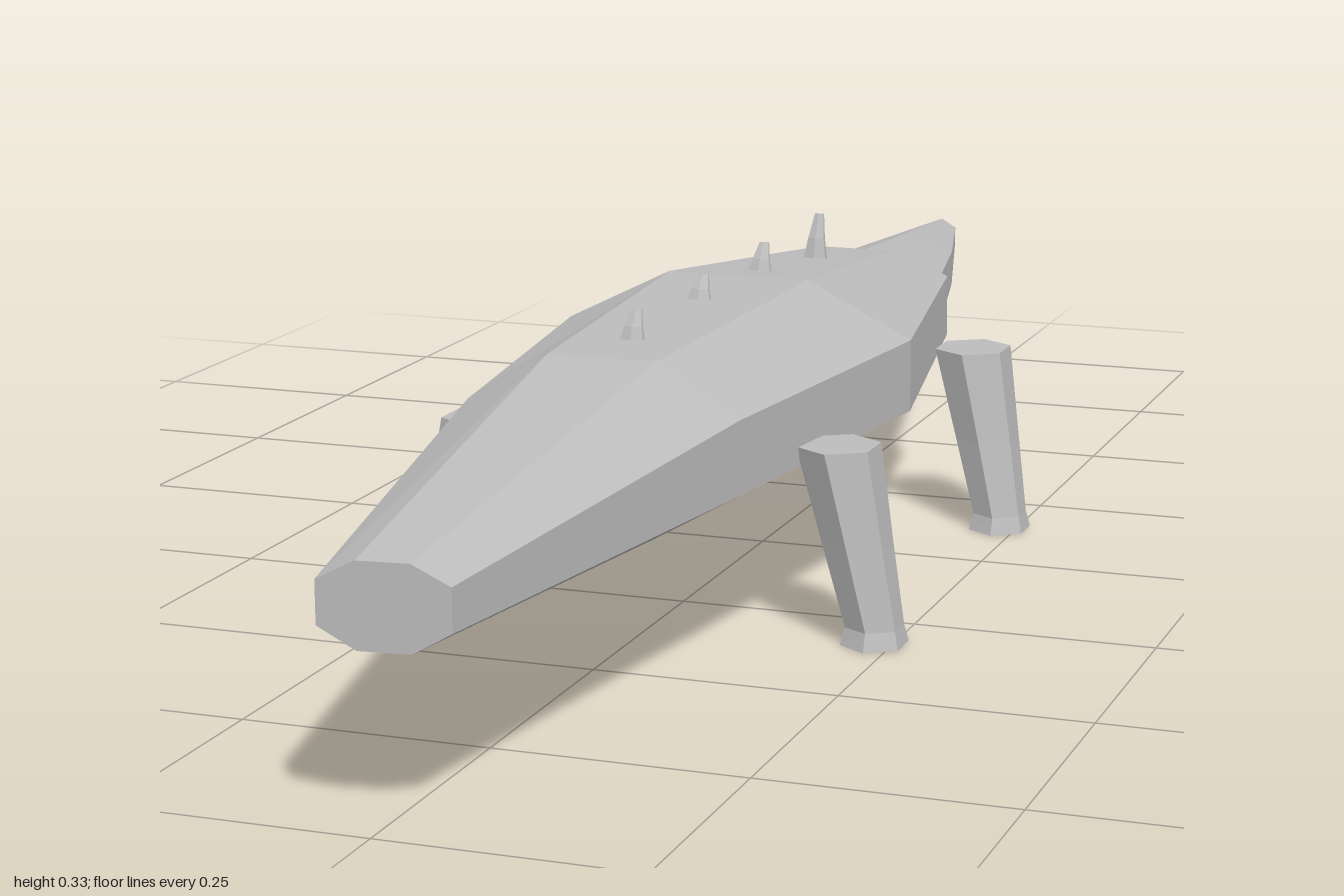
import * as THREE from 'three';

// Skin a list of rings (arrays of Vector3) and close both ends
function loft(rings) {
  const n = rings[0].length, last = rings.length - 1, pos = [], index = [];
  rings.forEach(r => r.forEach(p => pos.push(p.x, p.y, p.z)));
  for (let i = 0; i < last; i++) {
    for (let j = 0; j < n; j++) {
      const k = (j + 1) % n, a = i * n + j, b = i * n + k;
      index.push(a, a + n, b, b, a + n, b + n);
    }
  }
  for (let j = 1; j < n - 1; j++) {
    index.push(0, j, j + 1);
    index.push(last * n, last * n + j + 1, last * n + j);
  }
  const g = new THREE.BufferGeometry();
  g.setAttribute('position', new THREE.Float32BufferAttribute(pos, 3));
  g.setIndex(index);
  const flat = g.toNonIndexed();
  flat.computeVertexNormals();
  return flat;
}

// Six-sided ring lying flat, with corners pointing along z
function flatHex(x, y, z, halfX, halfZ) {
  return Array.from({ length: 6 }, (_, i) => {
    const a = Math.PI / 6 + i * Math.PI / 3;
    return new THREE.Vector3(x + halfX * Math.cos(a) / 0.866, y, z - halfZ * Math.sin(a));
  });
}

// Six-sided upright ring with a ridge on top
function uprightHex(x, y, z, halfX, halfY) {
  return Array.from({ length: 6 }, (_, i) => {
    const a = Math.PI / 6 + i * Math.PI / 3;
    return new THREE.Vector3(x + halfX * Math.cos(a) / 0.866, y + halfY * Math.sin(a), z);
  });
}

// Eight-sided upright ring: side width, flat top width and four heights
function bodyRing({ z, x = 0, w, flat, top, upper, lower, bottom, skew = 0 }) {
  return [
    [w, lower], [w, upper], [flat, top], [-flat, top],
    [-w, upper], [-w, lower], [-flat, bottom], [flat, bottom],
  ].map(([dx, y]) => new THREE.Vector3(x + dx, y, z + skew * dx));
}

export function createModel() {
  const model = new THREE.Group();
  const grey = new THREE.MeshStandardMaterial({ color: 0xbcbcbc });
  grey.name = 'grey';
  const add = (name, rings) => {
    const mesh = new THREE.Mesh(loft(rings), grey);
    mesh.name = name;
    model.add(mesh);
  };

  // Long body tapering to a blunt snout turned slightly to one side
  add('body', [
    { z: 0.993, x: 0.014, w: 0.059, flat: 0.024, top: 0.24, upper: 0.222, lower: 0.182, bottom: 0.162, skew: -0.12 },
    { z: 0.47, w: 0.141, flat: 0.056, top: 0.304, upper: 0.253, lower: 0.179, bottom: 0.13 },
    { z: 0.08, w: 0.192, flat: 0.078, top: 0.313, upper: 0.256, lower: 0.18, bottom: 0.122 },
    { z: -0.332, w: 0.112, flat: 0.046, top: 0.27, upper: 0.244, lower: 0.174, bottom: 0.133 },
  ].map(bodyRing));

  // Ridged tail swinging to the right
  add('tail', [
    uprightHex(0, 0.2, -0.32, 0.101, 0.065),
    uprightHex(-0.046, 0.183, -0.69, 0.06, 0.042),
    uprightHex(-0.09, 0.167, -1, 0.019, 0.022),
  ]);

  // Splayed legs with small flared feet; each foot has its own z shift
  const legs = [
    ['frontLeftLeg', 1, 0.32, 0.325], ['frontRightLeg', -1, 0.32, 0.343],
    ['backLeftLeg', 1, -0.165, -0.142], ['backRightLeg', -1, -0.165, -0.17],
  ];
  for (const [name, side, z, footZ] of legs) {
    add(name, [
      flatHex(side * 0.191, 0.199, z, 0.037, 0.046),
      flatHex(side * 0.2125, 0.1, (z + footZ) / 2, 0.031, 0.037),
      flatHex(side * 0.231, 0.018, footZ, 0.026, 0.031),
      flatHex(side * 0.231, 0, footZ, 0.03, 0.038),
    ]);
  }

  // Row of small spikes leaning back along the spine
  const spikes = [[0.39, 0.302], [0.2, 0.307], [0.01, 0.302], [-0.18, 0.283]];
  spikes.forEach(([z, y], i) => add('spike' + (i + 1), [
    flatHex(0, 0.334, z - 0.015, 0.005, 0.003),
    flatHex(0, (y + 0.334) / 2, z - 0.005, 0.009, 0.005),
    flatHex(0, y, z, 0.013, 0.007),
  ]));

  return model;
}
